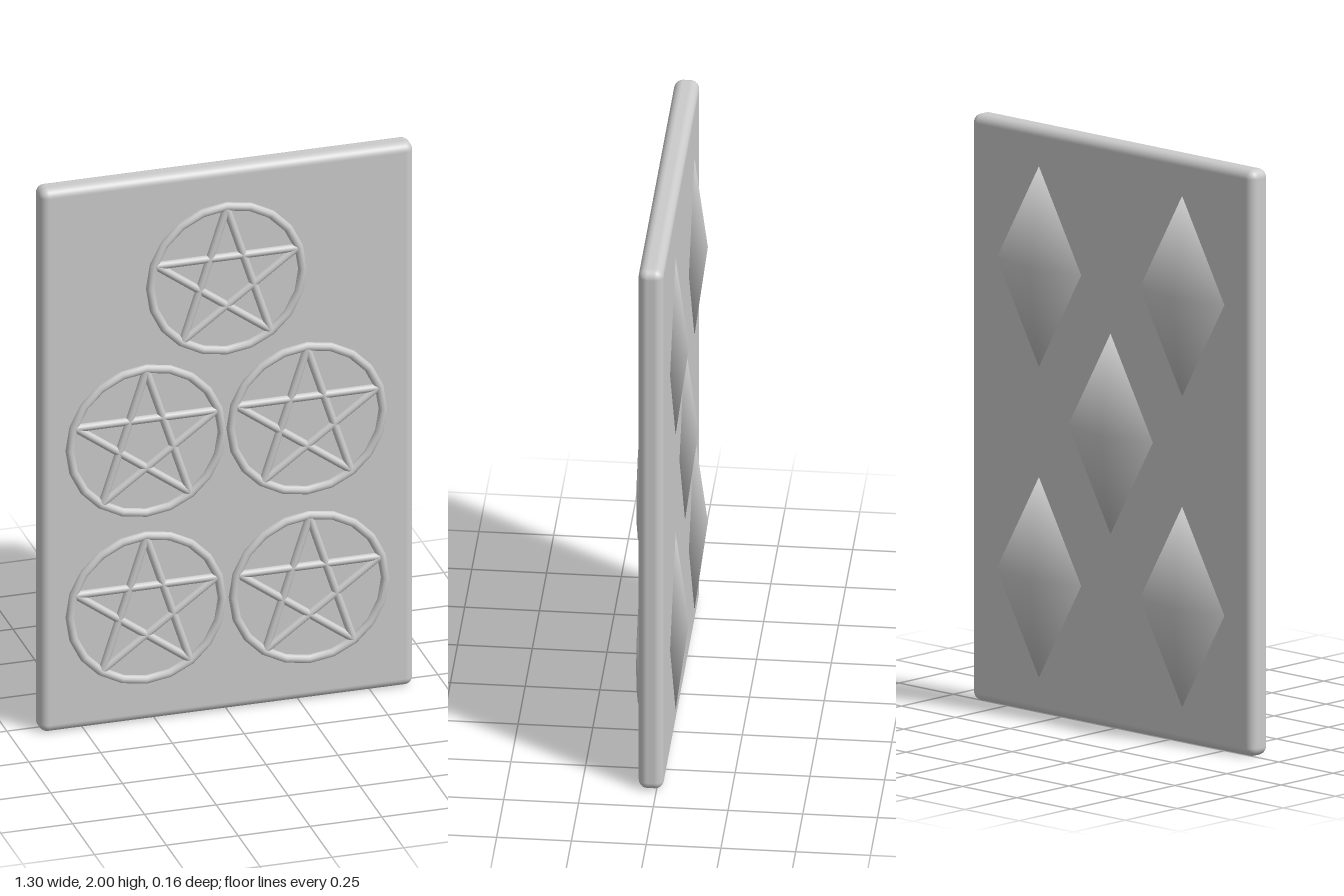
import * as THREE from 'three';
import { RoundedBoxGeometry } from 'three/addons/geometries/RoundedBoxGeometry.js';

const material = new THREE.MeshStandardMaterial({ color: 0xcccccc });

function addMesh(parent, name, geometry, x = 0, y = 0, z = 0) {
  const mesh = new THREE.Mesh(geometry, material);
  mesh.name = name;
  mesh.position.set(x, y, z);
  parent.add(mesh);
  return mesh;
}

// Ring with a five-pointed star of round bars, half sunk into the plate
function createStarDisc() {
  const group = new THREE.Group();
  group.name = 'starDisc';
  addMesh(group, 'ring', new THREE.TorusGeometry(0.265, 0.015, 10, 20));
  const radius = 0.258;
  const tip = (i) => {
    const a = Math.PI / 2 + (i * Math.PI * 2) / 5;
    return new THREE.Vector3(Math.cos(a) * radius, Math.sin(a) * radius, 0);
  };
  for (let i = 0; i < 5; i++) {
    const a = tip(i), b = tip(i + 2);
    const mid = a.clone().add(b).multiplyScalar(0.5);
    const bar = addMesh(group, 'starBar',
      new THREE.CylinderGeometry(0.014, 0.014, a.distanceTo(b), 10), mid.x, mid.y, 0);
    bar.quaternion.setFromUnitVectors(new THREE.Vector3(0, 1, 0), b.sub(a).normalize());
  }
  return group;
}

// Shallow four-sided pyramid pointing backwards, with shared smooth normals
function createDiamondGeometry(halfWidth, halfHeight, depth) {
  const geometry = new THREE.BufferGeometry();
  geometry.setAttribute('position', new THREE.Float32BufferAttribute([
    halfWidth, 0, 0, 0, halfHeight, 0, -halfWidth, 0, 0, 0, -halfHeight, 0, 0, 0, -depth,
  ], 3));
  const index = [0, 1, 2, 0, 2, 3];
  for (let i = 0; i < 4; i++) index.push((i + 1) % 4, i, 4);
  geometry.setIndex(index);
  geometry.computeVertexNormals();
  return geometry;
}

export function createModel() {
  const model = new THREE.Group();
  model.name = 'starTablet';

  // Plate with rounded edges
  addMesh(model, 'plate', new RoundedBoxGeometry(1.3, 2, 0.084, 5, 0.03), 0, 1, 0.019);

  // Five star discs on the front
  const discs = [[-0.005, 1.595], [-0.285, 1.035], [0.275, 1.04], [-0.285, 0.42], [0.283, 0.417]];
  for (const [x, y] of discs) {
    const disc = createStarDisc();
    disc.position.set(x, y, 0.062);
    model.add(disc);
  }

  // Five diamonds on the back
  const diamond = createDiamondGeometry(0.195, 0.342, 0.045);
  const spots = [[-0.337, 1.53], [0.323, 1.53], [-0.007, 1.01], [-0.337, 0.47], [0.323, 0.47]];
  for (const [x, y] of spots) addMesh(model, 'backDiamond', diamond, x, y, -0.034);

  return model;
}
